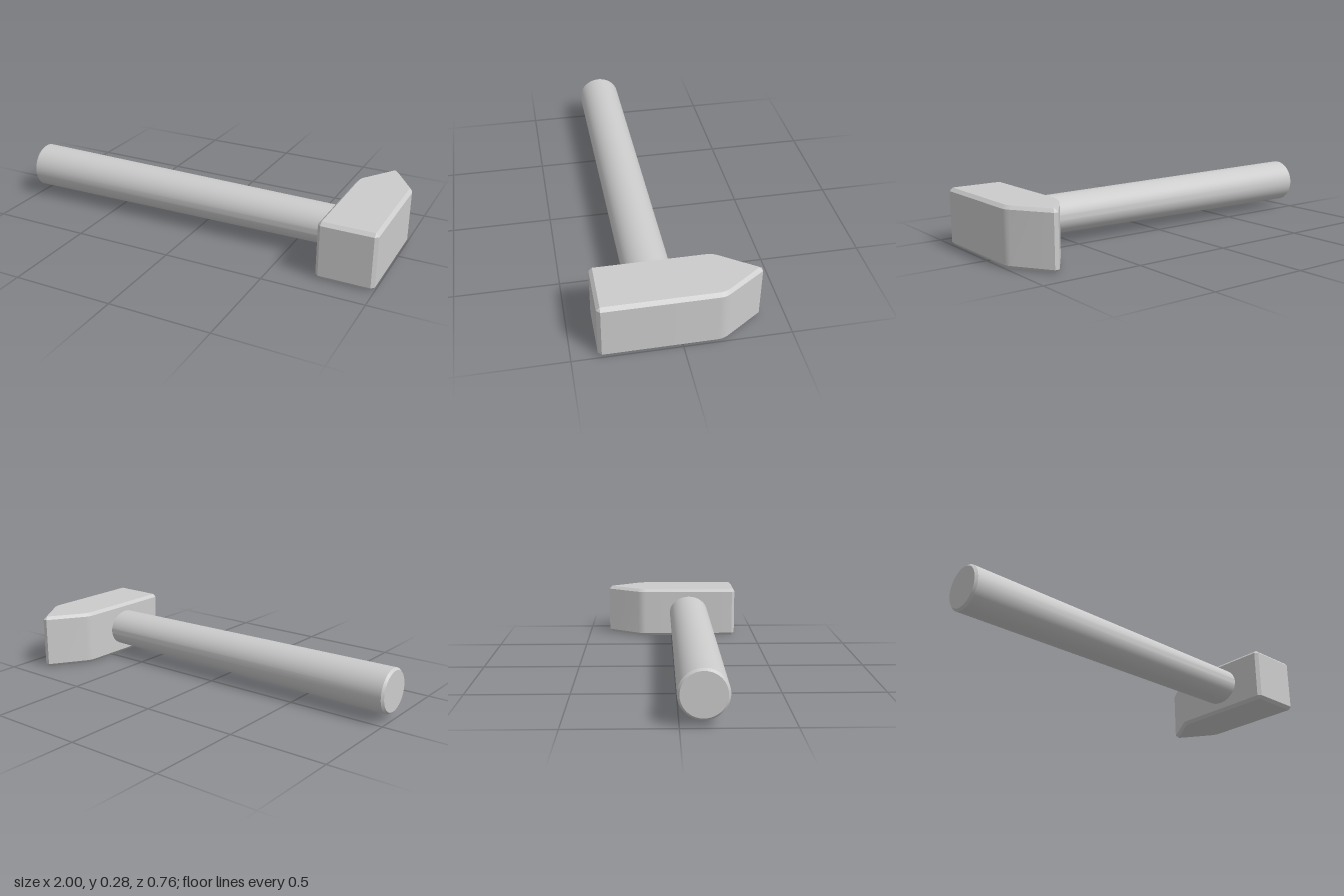
import * as THREE from 'three';
import { toCreasedNormals } from 'three/addons/utils/BufferGeometryUtils.js';
import { ConvexGeometry } from 'three/addons/geometries/ConvexGeometry.js';

const H = 0.285;        // head height
const HEAD_X = 0.857;   // head centre line
const HALF = 0.142;     // half head width
const BEVEL = 0.016;

// Right-hand half of the head outline in plan, as [x offset, z]
function halfOutline(inset) {
  const w = HALF - inset;
  const shoulder = new THREE.QuadraticBezierCurve(
    new THREE.Vector2(w, -0.155),
    new THREE.Vector2(w, -0.18),
    new THREE.Vector2(w - 0.014, -0.202)
  ).getPoints(4).map((p) => [p.x, p.y]);
  return inset
    ? [[w, 0.38 - inset], ...shoulder, [0.002, -0.38 + inset]]
    : [[w - BEVEL, 0.38], [w, 0.38 - BEVEL], ...shoulder, [0.011, -0.38]];
}

// Bevelled block with a wedge-shaped peen at the back
function headGeometry() {
  const points = [];
  const addRing = (inset, y) => {
    for (const [x, z] of halfOutline(inset)) {
      for (const side of [1, -1]) points.push(new THREE.Vector3(HEAD_X + side * x, y, z));
    }
  };
  addRing(BEVEL, 0);
  addRing(0, BEVEL);
  addRing(0, H - BEVEL);
  addRing(BEVEL, H);
  return toCreasedNormals(new ConvexGeometry(points), 0.4);
}

// Round bar with a chamfered butt, getting flatter towards the head
function handleGeometry() {
  const profile = [[0, -1], [0.102, -1], [0.1125, -0.988], [0.1125, 0.76], [0, 0.76]]
    .map(([r, y]) => new THREE.Vector2(r, y));
  const geometry = new THREE.LatheGeometry(profile, 64);
  geometry.rotateZ(-Math.PI / 2);
  const pos = geometry.attributes.position;
  for (let i = 0; i < pos.count; i++) {
    const t = (pos.getX(i) + 1) / 1.715;
    pos.setY(i, pos.getY(i) * (1 - 0.155 * t));
  }
  return toCreasedNormals(geometry, 0.5);
}

export function createModel() {
  const group = new THREE.Group();
  group.name = 'hammer';
  const material = new THREE.MeshStandardMaterial({ color: 0xcccccc });

  const head = new THREE.Mesh(headGeometry(), material);
  head.name = 'head';

  const handle = new THREE.Mesh(handleGeometry(), material);
  handle.name = 'handle';
  handle.position.set(0, 0.145, 0.102);

  group.add(head, handle);
  return group;
}
